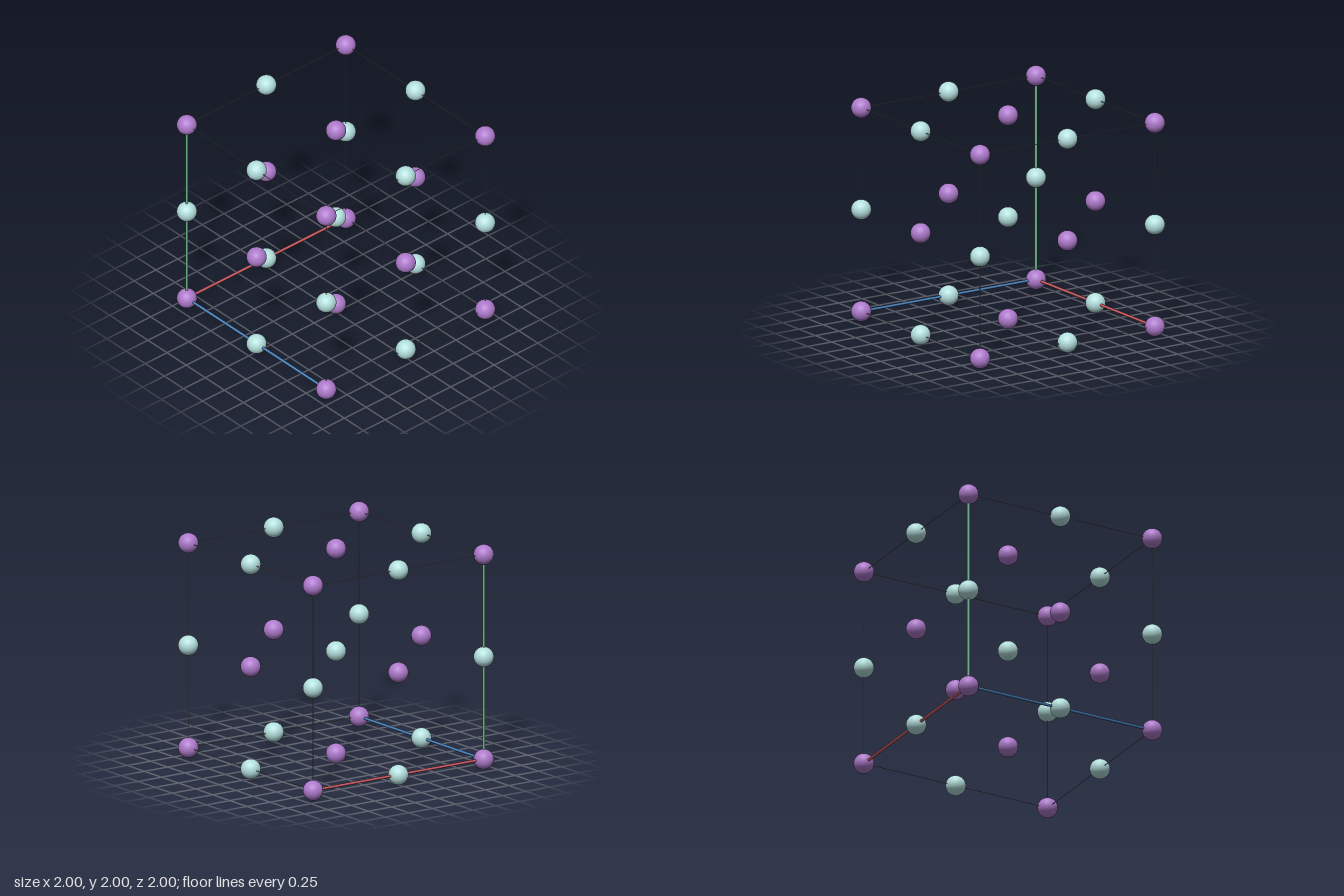
import * as THREE from 'three';

const HALF = 0.912;   // half the cell edge
const RADIUS = 0.088; // atom radius

function material(name, color) {
  const m = new THREE.MeshStandardMaterial({ color });
  m.name = name;
  return m;
}

export function createModel() {
  const model = new THREE.Group();
  model.name = 'cubicCrystalCell';

  const purple = material('purple', 0xae7acc);
  const teal = material('paleTeal', 0xb4e0de);
  const grey = material('grey', 0x808080);
  const axisMaterials = {
    x: material('red', 0xcc5a60),
    y: material('green', 0x66b482),
    z: material('blue', 0x4a84c0),
  };

  const cell = new THREE.Group();
  cell.name = 'cell';
  cell.position.y = HALF + RADIUS;
  model.add(cell);

  // Atoms on a 3 x 3 x 3 lattice, the two kinds alternating
  const ball = new THREE.SphereGeometry(RADIUS, 40, 28);
  for (let i = -1; i <= 1; i++)
    for (let j = -1; j <= 1; j++)
      for (let k = -1; k <= 1; k++) {
        const isPurple = (i + j + k) % 2 !== 0;
        const atom = new THREE.Mesh(ball, isPurple ? purple : teal);
        atom.name = isPurple ? 'purpleAtom' : 'tealAtom';
        atom.position.set(i, j, k).multiplyScalar(HALF);
        cell.add(atom);
      }

  // Cell edges: thin grey rods, with thicker coloured axes from the origin corner
  const thin = new THREE.CylinderGeometry(0.003, 0.003, 2 * HALF, 8);
  const thick = new THREE.CylinderGeometry(0.012, 0.012, 2 * HALF, 16);
  const others = { x: ['y', 'z'], y: ['x', 'z'], z: ['x', 'y'] };
  for (const axis of ['x', 'y', 'z'])
    for (const a of [-1, 1])
      for (const b of [-1, 1]) {
        const isAxis = a < 0 && b < 0;
        const rod = new THREE.Mesh(isAxis ? thick : thin, isAxis ? axisMaterials[axis] : grey);
        rod.name = isAxis ? axis + 'AxisRod' : 'cellEdge';
        rod.position[others[axis][0]] = a * HALF;
        rod.position[others[axis][1]] = b * HALF;
        if (axis === 'x') rod.rotation.z = -Math.PI / 2;
        if (axis === 'z') rod.rotation.x = Math.PI / 2;
        cell.add(rod);
      }

  return model;
}
